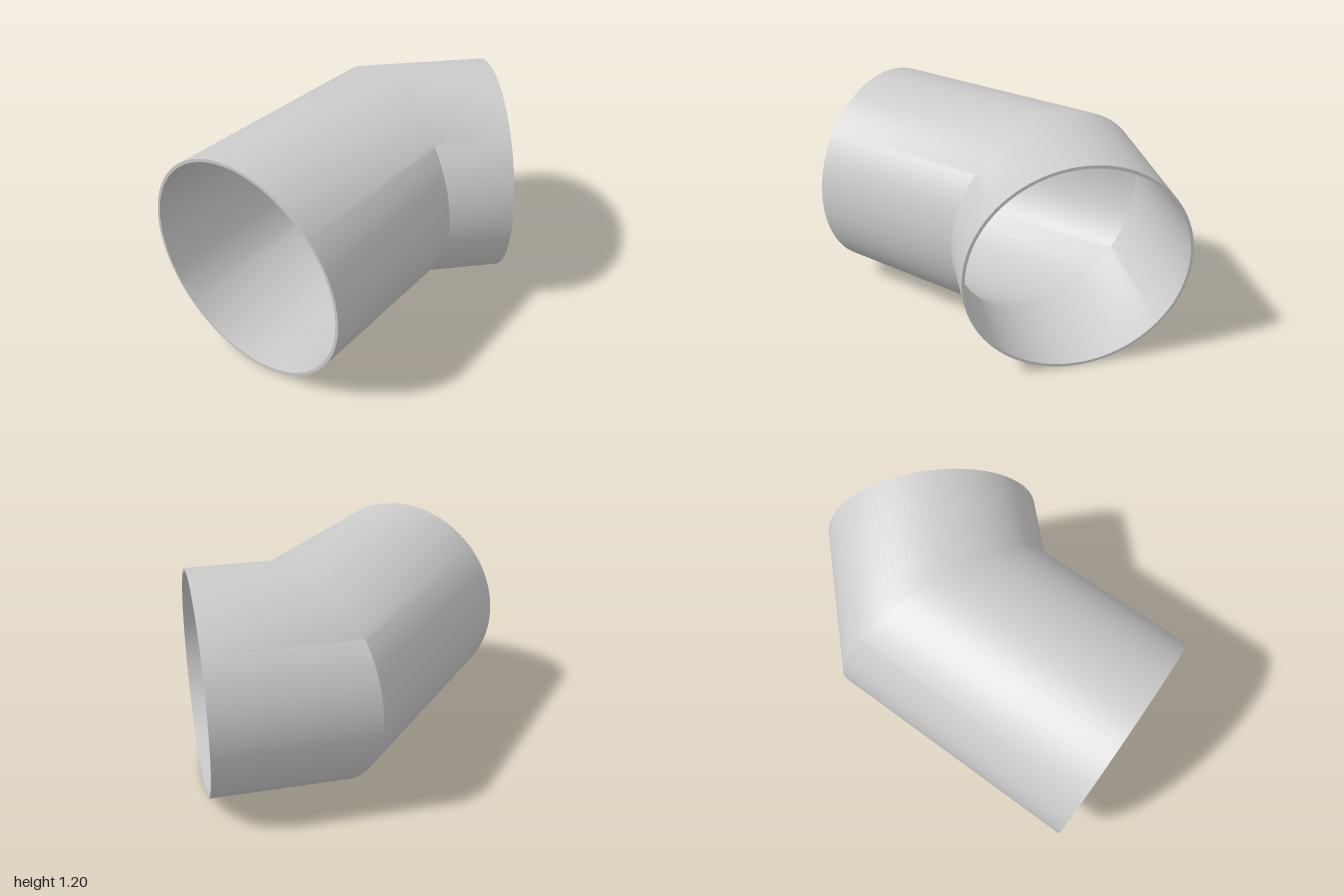
import * as THREE from 'three';
import { toCreasedNormals } from 'three/addons/utils/BufferGeometryUtils.js';

const RADIUS = 0.6, WALL = 0.016, BEND = Math.PI / 4;
const START_X = -1, MITRE_X = 0.16, AXIS_Z = -0.12, BRANCH = 0.588;

export function createModel() {
  const group = new THREE.Group();

  // Ring section, extruded in two steps: open end, mitre, angled open end
  const ring = new THREE.Shape().absarc(0, 0, RADIUS, 0, Math.PI * 2);
  ring.holes.push(new THREE.Path().absarc(0, 0, RADIUS - WALL, 0, Math.PI * 2, true));
  const geometry = new THREE.ExtrudeGeometry(ring, {
    depth: 2, steps: 2, curveSegments: 48, bevelEnabled: false,
  });

  // Centre of each section and its sideways direction (x, z)
  const c = Math.cos(BEND), s = Math.sin(BEND);
  const sections = [
    { x: START_X, z: AXIS_Z, dx: 0, dz: -1 },
    { x: MITRE_X, z: AXIS_Z, dx: Math.tan(BEND / 2), dz: -1 },
    { x: MITRE_X + BRANCH * c, z: AXIS_Z + BRANCH * s, dx: s, dz: -c },
  ];

  // Lay every ring onto its section plane
  const p = geometry.attributes.position;
  for (let i = 0; i < p.count; i++) {
    const u = p.getX(i), v = p.getY(i);
    const q = sections[Math.round(p.getZ(i))];
    p.setXYZ(i, q.x + u * q.dx, RADIUS + v, q.z + u * q.dz);
  }

  // Smooth walls with sharp rims and a sharp mitre at the sides
  const pipe = new THREE.Mesh(
    toCreasedNormals(geometry, 0.58),
    new THREE.MeshStandardMaterial({ color: 0xcccccc }),
  );
  pipe.name = 'mitredPipe';
  group.add(pipe);
  return group;
}
